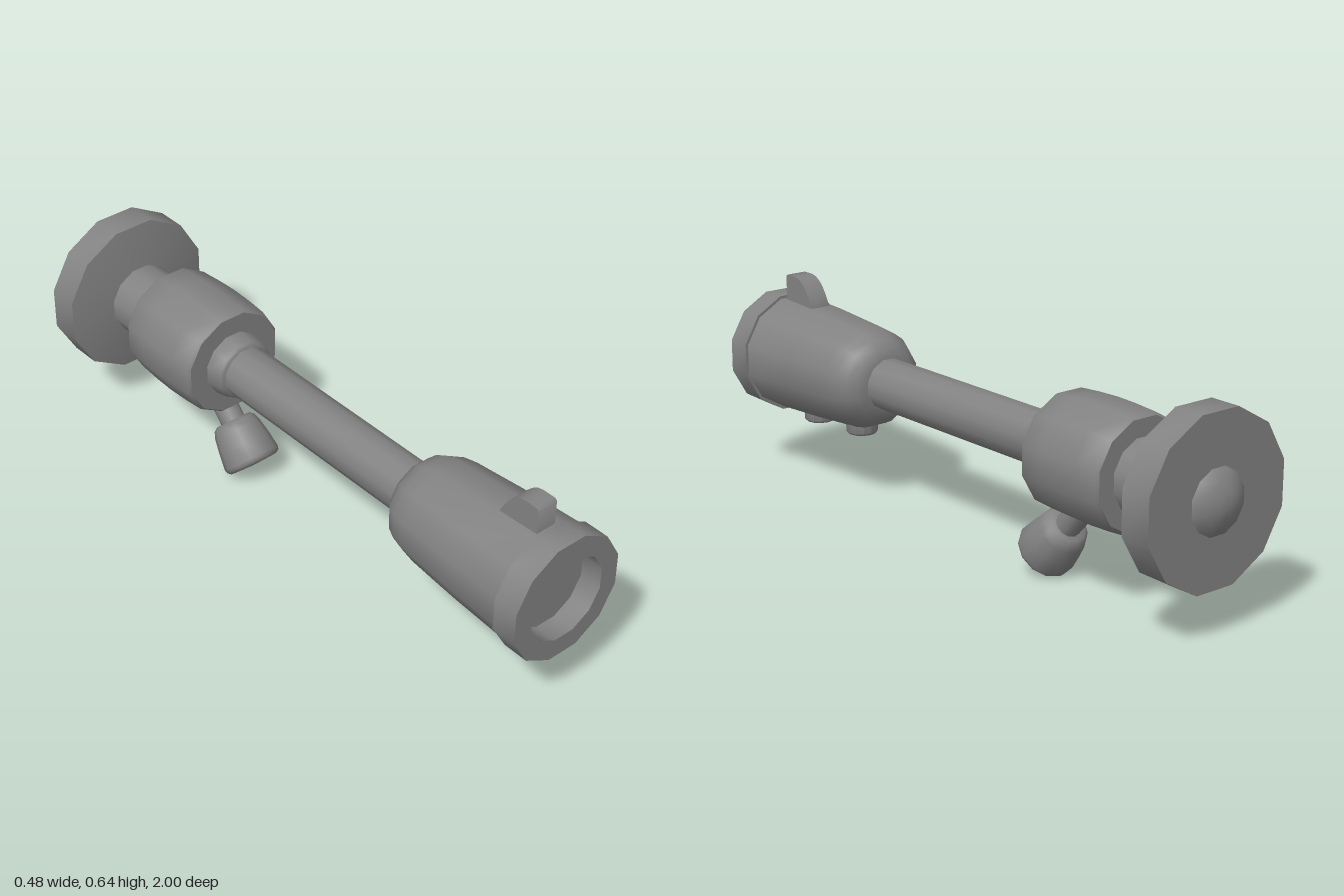
import * as THREE from 'three';
import { toCreasedNormals } from 'three/addons/utils/BufferGeometryUtils.js';

const AXIS_Y = 0.392;
const SIDES = 12;

export function createModel() {
  const model = new THREE.Group();
  const material = new THREE.MeshStandardMaterial();
  material.color.set(0x828282);

  function add(name, geometry) {
    const mesh = new THREE.Mesh(toCreasedNormals(geometry, 0.8), material);
    mesh.name = name;
    model.add(mesh);
    return mesh;
  }

  // Lathe from [radius, height] pairs, rising along its axis
  function turned(profile, phase = 0) {
    const points = profile.map(([r, h]) => new THREE.Vector2(r, h));
    return new THREE.LatheGeometry(points, SIDES, phase);
  }

  // Turned part lying along z on the main axis, flats facing up and sideways
  function axial(name, profile) {
    const geometry = turned(profile, Math.PI / SIDES);
    geometry.rotateX(Math.PI / 2);
    geometry.translate(0, AXIS_Y, 0);
    return add(name, geometry);
  }

  // Rear disc with a conical front face, and its domed cap
  axial('rearDisc', [[0, -0.957], [0.25, -0.957], [0.25, -0.86], [0.1, -0.832], [0, -0.832]]);
  axial('rearDome', [[0, -1], [0.035, -0.995], [0.065, -0.982], [0.09, -0.965], [0.1, -0.95], [0, -0.95]]);

  // Neck and the barrel-shaped joint
  axial('neck', [[0, -0.84], [0.111, -0.84], [0.111, -0.67], [0, -0.67]]);
  axial('jointHousing', [
    [0, -0.686], [0.164, -0.686], [0.171, -0.677], [0.176, -0.6], [0.178, -0.535],
    [0.176, -0.46], [0.171, -0.388], [0.164, -0.379], [0, -0.379],
  ]);
  axial('jointCollar', [[0, -0.4], [0.102, -0.4], [0.102, -0.365], [0.094, -0.325], [0.086, -0.318], [0, -0.318]]);

  // Long rod
  axial('rod', [[0, -0.36], [0.08, -0.36], [0.08, 0.46], [0, 0.46]]);

  // Head with rounded shoulder
  axial('headBody', [
    [0, 0.425], [0.085, 0.425], [0.112, 0.436], [0.136, 0.461], [0.152, 0.495],
    [0.16, 0.54], [0.173, 0.72], [0.183, 0.93], [0, 0.93],
  ]);

  // Front ring with a recessed face
  axial('frontRing', [[0.15, 0.921], [0.1915, 0.921], [0.1915, 1], [0.13, 1], [0.13, 0.925]]);
  axial('recessedFace', [[0.14, 0.932], [0, 0.932]]);

  // Sight tab on top of the head, sloping away to the rear
  const tabShape = new THREE.Shape();
  tabShape.moveTo(0.908, 0.52);
  tabShape.lineTo(0.908, 0.642);
  tabShape.lineTo(0.902, 0.648);
  tabShape.lineTo(0.86, 0.648);
  tabShape.quadraticCurveTo(0.812, 0.645, 0.775, 0.565);
  tabShape.lineTo(0.775, 0.52);
  const tab = new THREE.ExtrudeGeometry(tabShape, { depth: 0.066, bevelEnabled: false, curveSegments: 5 });
  tab.translate(0, 0, -0.033);
  tab.rotateY(-Math.PI / 2);
  add('topTab', tab);

  // Two round buttons under the head
  [['frontButton', 0.788, 0.195], ['rearButton', 0.565, 0.207]].forEach(([name, z, bottom]) => {
    const button = turned([[0, 0], [0.044, 0], [0.049, 0.006], [0.049, 0.06], [0, 0.06]]);
    button.translate(0, bottom, z);
    add(name, button);
  });

  // Clamp knob on a stem, pointing down and forward
  const knobDirection = new THREE.Vector3(0, -0.735, 0.68).normalize();
  const parts = [
    ['knobStem', [[0, -0.22], [0.038, -0.22], [0.038, 0.02], [0, 0.02]]],
    ['clampKnob', [
      [0, 0], [0.054, 0], [0.066, 0.01], [0.074, 0.03], [0.082, 0.075],
      [0.089, 0.128], [0.086, 0.139], [0.076, 0.147], [0, 0.151],
    ]],
  ];
  for (const [name, profile] of parts) {
    const mesh = add(name, turned(profile));
    mesh.quaternion.setFromUnitVectors(new THREE.Vector3(0, 1, 0), knobDirection);
    mesh.position.set(0, 0.17, -0.392);
  }

  return model;
}
